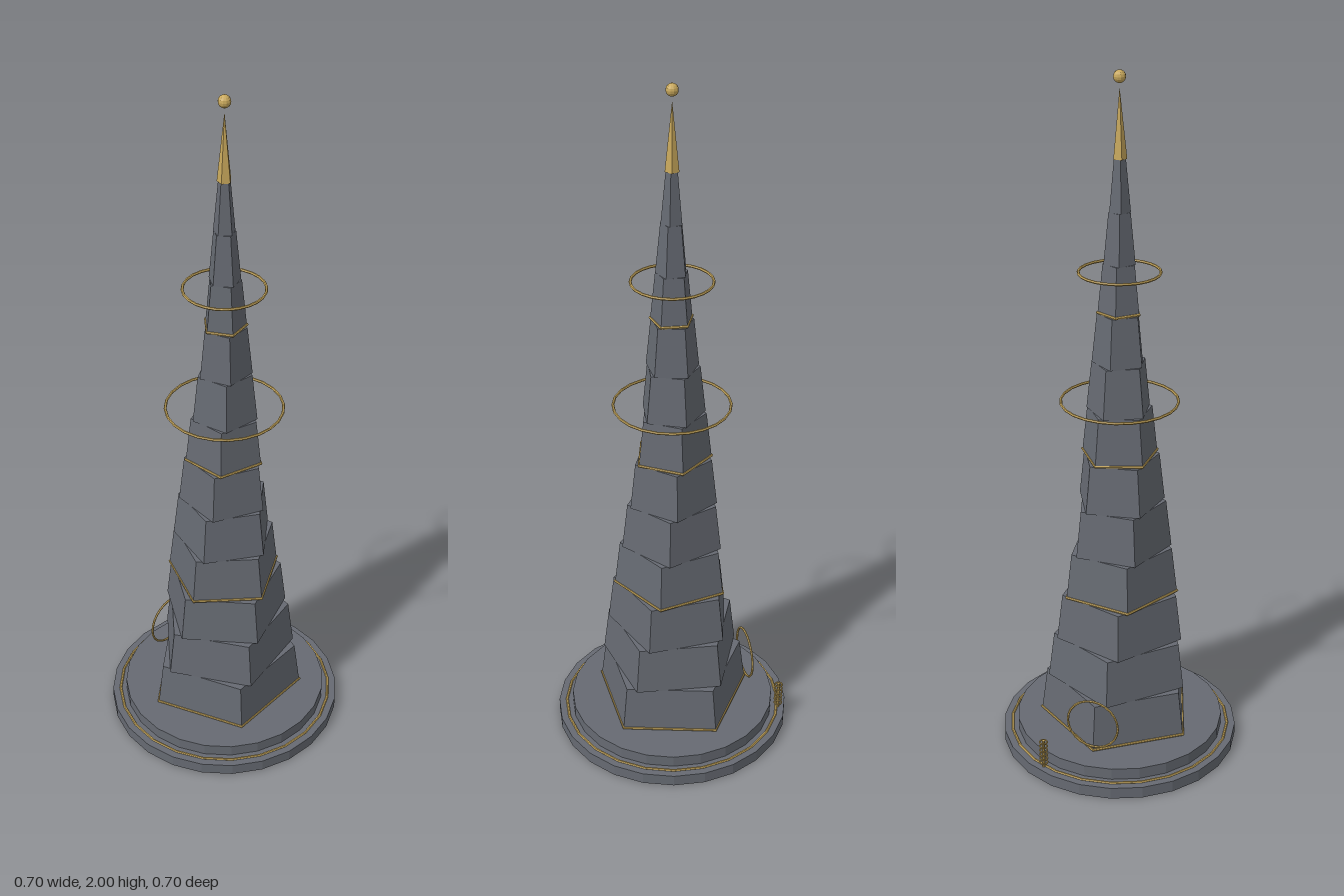
import * as THREE from 'three';

export function createModel() {
  const root = new THREE.Group();
  root.name = 'twistedSpire';

  const stone = new THREE.MeshStandardMaterial({ color: 0x666a72, flatShading: true });
  stone.name = 'slate stone';
  const gold = new THREE.MeshStandardMaterial({ color: 0xc8a85c, flatShading: true });
  gold.name = 'pale gold';

  function add(parent, name, geometry, material, x = 0, y = 0, z = 0) {
    const mesh = new THREE.Mesh(geometry, material);
    mesh.name = name;
    mesh.position.set(x, y, z);
    parent.add(mesh);
    return mesh;
  }
  // Torus lying flat in the xz plane
  const flatRing = (radius, tube, sides) =>
    new THREE.TorusGeometry(radius, tube, 6, sides).rotateX(Math.PI / 2);

  // Stepped round plinth with a gold inlay ring
  add(root, 'lowerPlinth', new THREE.CylinderGeometry(0.352, 0.352, 0.035, 24), stone, 0, 0.0175);
  add(root, 'upperPlinth', new THREE.CylinderGeometry(0.309, 0.309, 0.035, 24), stone, 0, 0.0525);
  add(root, 'plinthRing', flatRing(0.328, 0.004, 24), gold, 0, 0.036);

  // Tower of five-sided tapering blocks, each turned a little further
  const count = 12, bottom = 0.07, top = 1.77;
  const step = (top - bottom) / count;
  const twist = THREE.MathUtils.degToRad(9);
  const radiusAt = (t) => 0.236 * (1 - 1.167 * t + 0.237 * t * t);
  const tower = new THREE.Group();
  tower.name = 'tower';
  root.add(tower);
  for (let i = 0; i < count; i++) {
    const r0 = radiusAt(i / count);
    const r1 = radiusAt((i + 1) / count) * 1.02;
    const turn = Math.PI + i * twist;
    const y = bottom + i * step;
    const block = add(tower, 'towerBlock' + i,
      new THREE.CylinderGeometry(r1, r0, step, 5), stone, 0, y + step / 2);
    block.rotation.y = turn;
    // Gold trim at the foot of every third block
    if (i % 3 === 0) {
      const trim = add(tower, 'goldTrim' + i, flatRing(r0, 0.004, 5), gold, 0, y + 0.005);
      trim.rotation.y = turn - Math.PI / 2;
    }
  }

  // Gold tip and floating ball
  const tip = add(root, 'spireTip', new THREE.ConeGeometry(0.02, 0.185, 5), gold, 0, top + 0.0925);
  tip.rotation.y = Math.PI + count * twist;
  add(root, 'finialBall', new THREE.SphereGeometry(0.017, 12, 8), gold, 0, 1.983);

  // Floating halo rings
  add(root, 'lowerHalo', flatRing(0.165, 0.004, 24), gold, 0, 1.088);
  add(root, 'upperHalo', flatRing(0.112, 0.004, 24), gold, 0, 1.462);

  // Upright portal ring at the back
  add(root, 'portalRing', new THREE.TorusGeometry(0.077, 0.0035, 6, 24), gold, 0, 0.165, -0.236);

  // Small post with stacked rings on the plinth edge
  const post = new THREE.Group();
  post.name = 'ringedPost';
  post.position.set(0.127, 0.035, -0.305);
  root.add(post);
  add(post, 'postShaft', new THREE.CylinderGeometry(0.005, 0.005, 0.09, 8), gold, 0, 0.045);
  for (let i = 0; i < 6; i++) {
    add(post, 'postRing' + i, flatRing(0.011, 0.0025, 12), gold, 0, 0.015 + i * 0.014);
  }

  return root;
}
